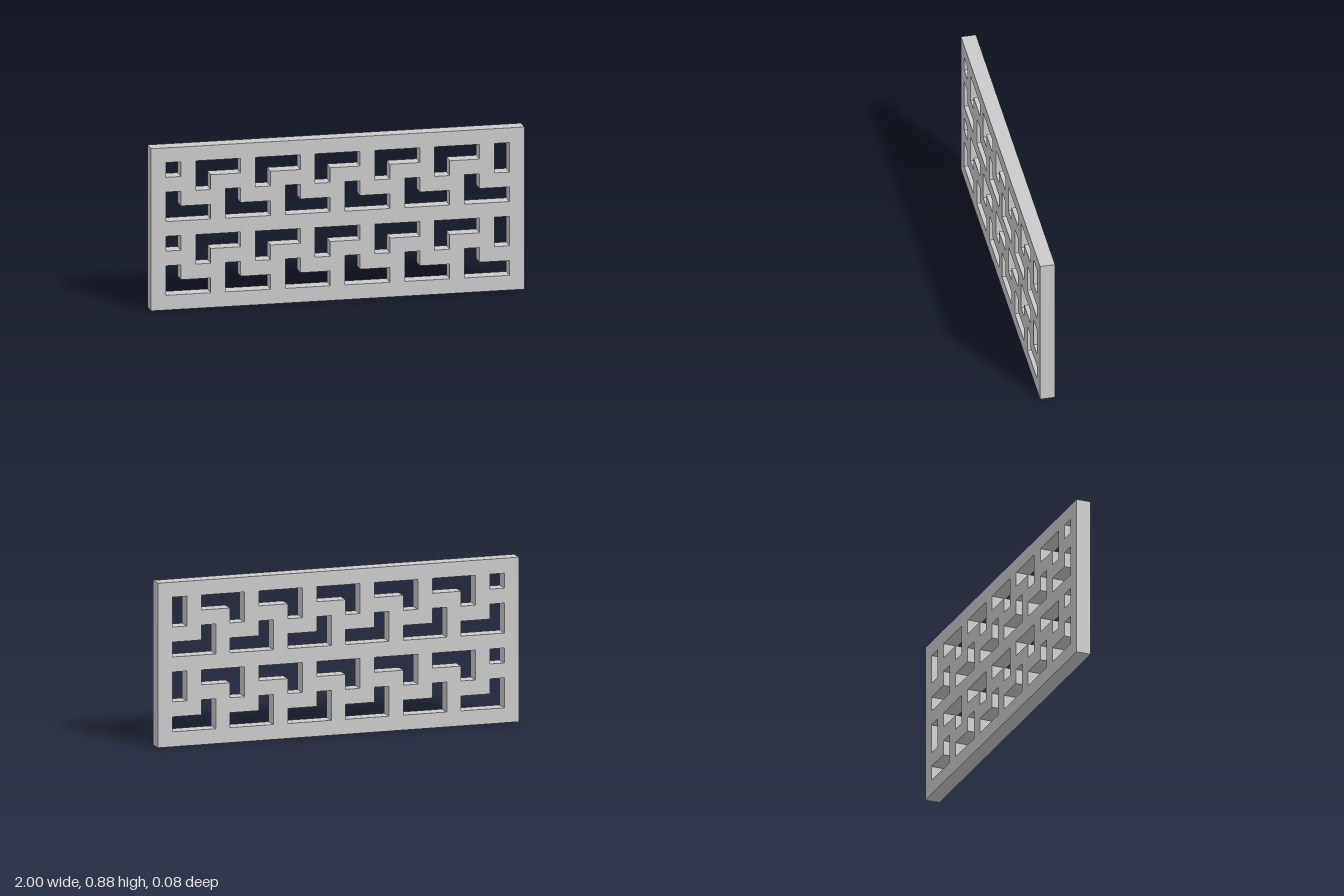
import * as THREE from 'three';

const U = 0.08;               // lattice cell size
const COLS = 25, ROWS = 11;   // panel size in cells

// Turn cell corners into points, shifted by (dx, dy) cells
const points = (corners, dx = 0, dy = 0) =>
  corners.map(([x, y]) => new THREE.Vector2((x + dx - COLS / 2) * U, (y + dy) * U));

const rect = (x0, y0, x1, y1) => [[x0, y0], [x1, y0], [x1, y1], [x0, y1]];

const lowerL = [[1, 1], [4, 1], [4, 2], [2, 2], [2, 3], [1, 3]];
const upperL = [[3, 3], [4, 3], [4, 4], [6, 4], [6, 5], [3, 5]];

export function createModel() {
  const group = new THREE.Group();
  group.name = 'fretworkPanel';

  const shape = new THREE.Shape(points(rect(0, 0, COLS, ROWS)));
  const cut = (corners, dx, dy) => shape.holes.push(new THREE.Path(points(corners, dx, dy)));

  // Two identical bands of interlocking L-shaped openings
  for (const dy of [0, 5]) {
    for (let i = 0; i < 6; i++) cut(lowerL, i * 4, dy);
    for (let i = 0; i < 5; i++) cut(upperL, i * 4, dy);
    // Partial openings at the two ends
    cut(rect(1, 4, 2, 5), 0, dy);
    cut(rect(23, 3, 24, 5), 0, dy);
  }

  const geometry = new THREE.ExtrudeGeometry(shape, { depth: U, bevelEnabled: false });
  geometry.translate(0, 0, -U / 2);

  const lattice = new THREE.Mesh(
    geometry,
    new THREE.MeshStandardMaterial({ color: 0xcccccc, flatShading: true })
  );
  lattice.name = 'lattice';
  group.add(lattice);
  return group;
}
